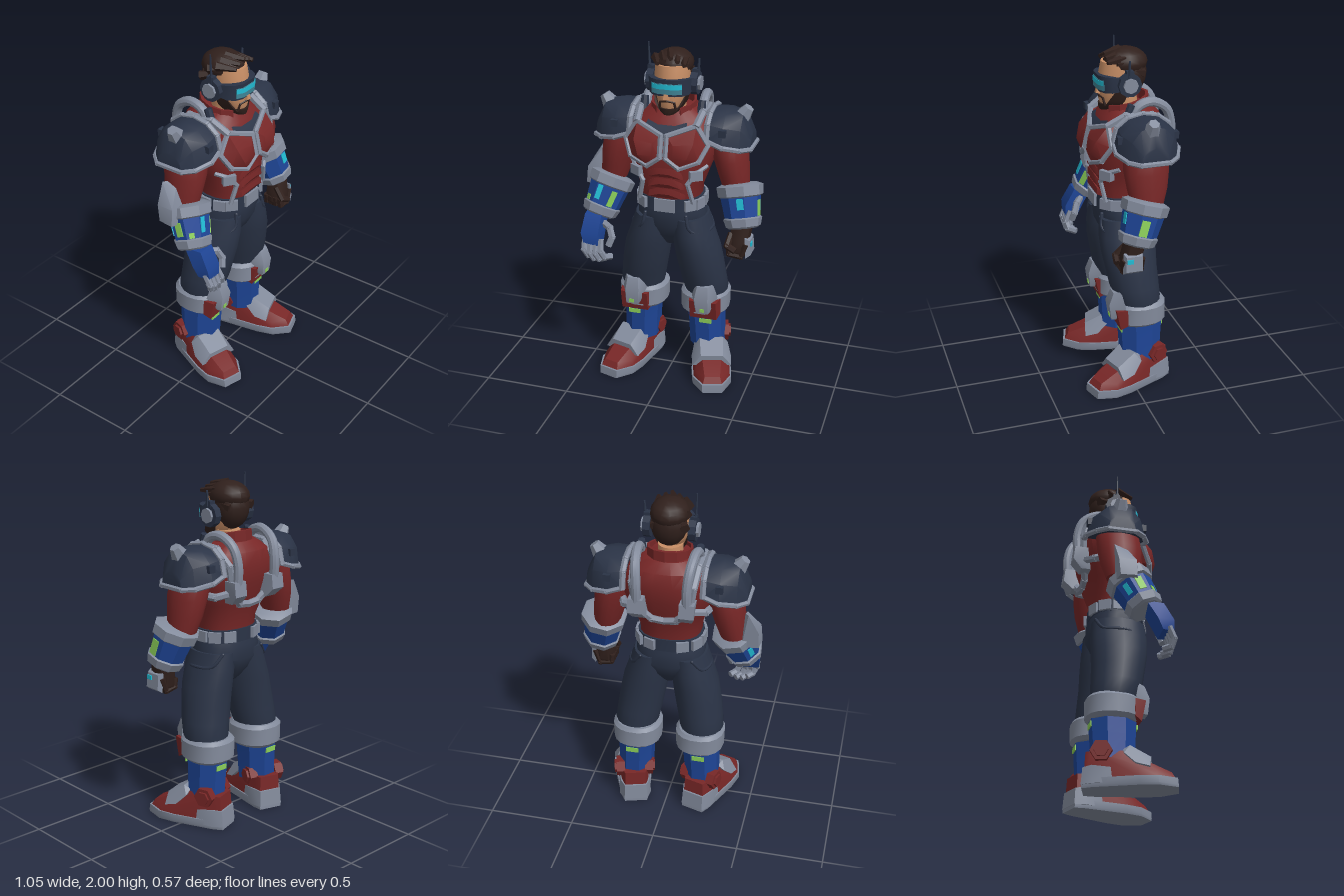
import * as THREE from 'three';
import { mergeGeometries, toCreasedNormals } from 'three/addons/utils/BufferGeometryUtils.js';
import { ConvexGeometry } from 'three/addons/geometries/ConvexGeometry.js';

const mat = (name, color) => Object.assign(new THREE.MeshStandardMaterial({ color }), { name });
const M = {
  red: mat('red armour', 0x782727), navy: mat('navy cloth', 0x2a3346), grey: mat('grey metal', 0x838b9c),
  blue: mat('blue armour', 0x1e4596), skin: mat('skin', 0xc98f66), hair: mat('dark brown', 0x30201c),
  cyan: mat('cyan light', 0x22bcd4), green: mat('green light', 0x8ccf5a), lens: mat('visor glass', 0x3f8496),
};
const V = (p) => new THREE.Vector3(...p);
const UP = new THREE.Vector3(0, 1, 0);

// Adds one mesh from one or several geometries
function add(parent, name, material, ...geos) {
  const parts = geos.flat().map((g) => {
    const f = g.index ? g.toNonIndexed() : g;
    f.deleteAttribute('uv');
    return toCreasedNormals(f, 0.6);
  });
  const mesh = new THREE.Mesh(mergeGeometries(parts), material);
  mesh.name = name;
  parent.add(mesh);
  return mesh;
}
// Closed skin over horizontal rings [y, cx, cz, rx, rz], rising in y
function loft(rings, n = 18, power = 2) {
  const pos = [], idx = [], top = (rings.length - 1) * n, c = rings.length * n;
  const e = (v) => Math.sign(v) * Math.abs(v) ** (2 / power);
  for (const [y, cx, cz, rx, rz] of rings) for (let i = 0; i < n; i++) {
    const a = ((i + 0.5) / n) * Math.PI * 2;
    pos.push(cx + rx * e(Math.sin(a)), y, cz + rz * e(Math.cos(a)));
  }
  for (const [y, cx, cz] of [rings[0], rings.at(-1)]) pos.push(cx, y, cz);
  for (let i = 0; i < n; i++) {
    const k = (i + 1) % n;
    for (let j = 0; j < top; j += n) idx.push(j + i, j + k, j + n + k, j + i, j + n + k, j + n + i);
    idx.push(c, k, i, c + 1, top + i, top + k);
  }
  const g = new THREE.BufferGeometry();
  g.setAttribute('position', new THREE.Float32BufferAttribute(pos, 3));
  g.setIndex(idx);
  return g;
}
const hull = (pts) => new ConvexGeometry(pts.map(V));
// Hull that is symmetrical about x = 0
const hullX = (pts) => hull(pts.flatMap(([x, y, z]) => [[x, y, z], [-x, y, z]]));
const flip = (pts, s) => pts.map(([x, y, z]) => [x * s, y, z]);
const box = (w, h, d, x, y, z, ry = 0, rx = 0) =>
  new THREE.BoxGeometry(w, h, d).rotateX(rx).rotateY(ry).translate(x, y, z);
const ball = (rx, ry, rz, x, y, z) => new THREE.SphereGeometry(1, 14, 10).scale(rx, ry, rz).translate(x, y, z);
const disc = (r, w, x, y, z, n = 6) => new THREE.CylinderGeometry(r, r, w, n).rotateZ(Math.PI / 2).translate(x, y, z);
// Straight rod from a to b
function rod(a, b, r0, r1 = r0, n = 6) {
  const d = V(b).sub(V(a)), L = d.length();
  return new THREE.CylinderGeometry(r1, r0, L + r1, n)
    .applyQuaternion(new THREE.Quaternion().setFromUnitVectors(UP, d.normalize()))
    .translate(...V(a).add(V(b)).multiplyScalar(0.5).toArray());
}
const chain = (pts, r, close) => pts.slice(close ? 0 : 1).map((p, i) => rod(pts[close ? (i + pts.length - 1) % pts.length : i], p, r));
const tube = (pts, r) => {
  const c = new THREE.CatmullRomCurve3(pts.map(V));
  return [new THREE.TubeGeometry(c, 20, r, 10), ...[pts[0], pts.at(-1)].map((p) => ball(r, r, r, ...p))];
};

function buildHead(g) {
  add(g, 'neck', M.skin, loft([[1.56, 0, -0.03, 0.07, 0.08], [1.7, 0, -0.02, 0.07, 0.08]]));
  add(g, 'face', M.skin, loft([[1.645, 0, 0.06, 0.035, 0.04], [1.68, 0, 0.035, 0.068, 0.08], [1.74, 0, 0.01, 0.09, 0.107],
    [1.82, 0, 0, 0.1, 0.118], [1.9, 0, -0.01, 0.095, 0.113]]), hullX([[0.018, 1.72, 0.1], [0.014, 1.725, 0.136], [0.008, 1.8, 0.12]]));
  add(g, 'beard', M.hair, loft([[1.63, 0, 0.065, 0.035, 0.048], [1.645, 0, 0.05, 0.056, 0.068], [1.667, 0, 0.04, 0.07, 0.08]]),
    [-1, 1].flatMap((s) => [hull(flip([[0.06, 1.66, 0.085], [0.045, 1.65, 0.1], [0.078, 1.69, 0.08], [0.1, 1.76, 0.04], [0.103, 1.77, 0.0],
      [0.1, 1.76, -0.03], [0.085, 1.69, -0.01], [0.06, 1.65, 0.01]], s)), rod([0, 1.712, 0.118], [s * 0.04, 1.702, 0.104], 0.006),
    rod([s * 0.04, 1.7, 0.104], [s * 0.045, 1.665, 0.095], 0.007)]));
  // Hair cap with swept locks
  const locks = [];
  for (let r = 0; r < 3; r++) for (let i = -2; i <= 2; i++) {
    const x = i * 0.038, y = 1.95 - Math.abs(i) * 0.016 - r * r * 0.014, z = 0.045 - r * 0.055;
    locks.push(rod([x + 0.012, y - 0.006, z + 0.035], [x * 1.08 - 0.012, y - r * 0.012, z - 0.04], 0.012, 0.028, 5));
  }
  add(g, 'hair', M.hair, ball(0.108, 0.083, 0.125, 0, 1.888, -0.035), ball(0.1, 0.125, 0.095, 0, 1.83, -0.06), locks);
  add(g, 'visor', M.navy, hullX([[0.12, 1.755, -0.01], [0.12, 1.82, -0.01], [0.113, 1.745, 0.07], [0.116, 1.833, 0.07],
    [0.085, 1.742, 0.107], [0.09, 1.835, 0.11], [0.045, 1.742, 0.126], [0.05, 1.835, 0.132]]));
  // Curved strips in front of the visor
  const strip = (y0, y1, out) => hullX([y0, y1].flatMap((y) => [[0.086, y, 0.113 + out], [0.046, y, 0.134 + out], [0.08, y, 0.1]]));
  add(g, 'visorLens', M.lens, strip(1.755, 1.813, 0));
  add(g, 'visorGlow', M.cyan, strip(1.783, 1.809, 0.003));
  for (const s of [-1, 1]) {
    add(g, 'earCup', M.navy, disc(0.066, 0.04, s * 0.125, 1.79, -0.02, 10), box(0.035, 0.1, 0.04, s * 0.128, 1.82, -0.02));
    add(g, 'earCap', M.grey, disc(0.042, 0.035, s * 0.142, 1.79, -0.02, 8));
  }
  add(g, 'antenna', M.navy, rod([-0.135, 1.8, -0.015], [-0.135, 1.87, -0.015], 0.013), rod([-0.137, 1.87, -0.015], [-0.142, 1.997, -0.015], 0.008, 0.004),
    rod([0.14, 1.83, -0.015], [0.146, 1.925, -0.015], 0.01, 0.006));
}

function buildTorso(g) {
  add(g, 'torso', M.red, loft([[1.1, 0, 0, 0.172, 0.145], [1.2, 0, 0.005, 0.18, 0.155], [1.3, 0, -0.01, 0.215, 0.175],
    [1.42, 0, -0.025, 0.265, 0.195], [1.52, 0, -0.04, 0.27, 0.195], [1.6, 0, -0.055, 0.21, 0.165], [1.65, 0, -0.05, 0.13, 0.12]], 20, 2.4));
  add(g, 'undershirt', M.navy, hullX([[0.11, 1.6, 0.09], [0.12, 1.57, 0.13], [0.02, 1.51, 0.168], [0.07, 1.63, 0.03], [0.06, 1.52, 0.08]]));
  const collar = Array.from({ length: 11 }, (_, i) => {
    const a = 0.55 + (i / 10) * (Math.PI * 2 - 1.1);
    return [0.115 * Math.sin(a), 1.625, -0.03 + 0.12 * Math.cos(a)];
  });
  add(g, 'collar', M.red, collar.slice(1).map((p, i) => hull([collar[i], p].flatMap(([x, y, z]) =>
    [[x, y - 0.05, z], [x * 1.15, y - 0.05, z * 1.15], [x, y + 0.055 - z * 0.2, z], [x * 1.12, y + 0.055 - z * 0.2, z * 1.12]]))));
  // Stomach ridges
  [1.31, 1.25, 1.19].forEach((y, i) => add(g, 'stomachPlate', M.red, hullX([[0.13 - i * 0.008, y - 0.045, 0.12], [0.135 - i * 0.008, y - 0.015, 0.12],
    [0.095, y - 0.03, 0.16], [0.09, y + 0.008, 0.158], [0.04, y + 0.03, 0.17], [0.03, y - 0.005, 0.175]])));
  for (const s of [-1, 1]) {
    const edge = flip([[0.17, 1.585, 0.115], [0.017, 1.53, 0.168], [0.017, 1.41, 0.196], [0.09, 1.355, 0.19], [0.195, 1.395, 0.16], [0.235, 1.48, 0.115]], s);
    add(g, 'chestPlate', M.red, hull([...edge, ...edge.map(([x, y, z]) => [x, y, z - 0.09]),
      ...flip([[0.06, 1.49, 0.2], [0.06, 1.42, 0.21], [0.14, 1.42, 0.21], [0.17, 1.5, 0.185]], s)]));
    add(g, 'chestFrame', M.grey, chain(edge, 0.016, true));
    add(g, 'sideStrap', M.grey, chain(flip([[0.215, 1.34, 0.07], [0.17, 1.31, 0.13], [0.13, 1.25, 0.148], [0.155, 1.14, 0.128]], s), 0.014),
      box(0.075, 0.055, 0.04, s * 0.17, 1.3, 0.125, s * 0.6));
    add(g, 'shoulderStrap', M.grey, chain(flip([[0.17, 1.585, 0.115], [0.18, 1.635, 0.02], [0.18, 1.625, -0.13], [0.17, 1.54, -0.222], [0.15, 1.4, -0.225]], s), 0.022));
    add(g, 'backStrap', M.grey, chain(flip([[0.27, 1.38, -0.08], [0.23, 1.37, -0.17], [0.15, 1.39, -0.22], [0.07, 1.31, -0.195], [0, 1.3, -0.19]], s), 0.022));
    add(g, 'backBlock', M.grey, hull(flip([0.1, 0.185].flatMap((x) => [[x, 1.46, -0.2], [x, 1.46, -0.275], [x, 1.38, -0.285],
      [x * 0.9, 1.33, -0.235], [x * 0.9, 1.33, -0.18]]), s)));
    add(g, 'hose', M.grey, tube(flip([[0.165, 1.6, -0.02], [0.165, 1.67, -0.05], [0.16, 1.697, -0.13], [0.15, 1.65, -0.22], [0.14, 1.55, -0.255], [0.14, 1.42, -0.25]], s), 0.027));
    add(g, 'hoseSocket', M.navy, rod([s * 0.165, 1.6, 0.01], [s * 0.165, 1.68, -0.015], 0.026, 0.022, 8));
  }
}

function buildHips(g) {
  add(g, 'hips', M.navy, loft([[0.83, 0, -0.015, 0.04, 0.07], [0.9, 0, -0.015, 0.13, 0.125], [0.97, 0, -0.012, 0.2, 0.155], [1.05, 0, -0.005, 0.2, 0.157], [1.1, 0, 0, 0.185, 0.15]], 20, 2.3));
  add(g, 'belt', M.navy, loft([[1.075, 0, 0, 0.192, 0.158], [1.15, 0, 0, 0.188, 0.156]], 20, 2.4));
  add(g, 'buckle', M.grey, box(0.12, 0.075, 0.03, 0, 1.112, 0.152));
  const blocks = [0.75, 1.2, 1.65, 2.15, 2.7].flatMap((a) => [a, -a]).map((a) => box(0.07, 0.062, 0.025,
    0.19 * Math.sign(a) * Math.sin(Math.abs(a)) ** 0.83, 1.112, 0.155 * Math.sign(Math.cos(a)) * Math.abs(Math.cos(a)) ** 0.83, a));
  add(g, 'beltBlocks', M.grey, blocks);
}

function buildLeg(g, s) {
  const leg = new THREE.Group();
  leg.name = s > 0 ? 'leftLeg' : 'rightLeg';
  g.add(leg);
  const L = (rings, n, p) => loft(rings.map(([y, x, ...r]) => [y, x * s, ...r]), n, p);
  add(leg, 'trouserLeg', M.navy, L([[0.48, 0.195, -0.055, 0.115, 0.125], [0.54, 0.195, -0.05, 0.13, 0.132], [0.62, 0.182, -0.033, 0.133, 0.144],
    [0.72, 0.165, -0.02, 0.136, 0.15], [0.82, 0.147, -0.01, 0.134, 0.16], [0.92, 0.124, -0.005, 0.122, 0.163], [1.02, 0.107, -0.005, 0.105, 0.155]]));
  add(leg, 'pocketRim', M.navy, tube(flip([[0.12, 1.05, 0.14], [0.14, 0.97, 0.145], [0.195, 0.94, 0.1], [0.235, 0.94, -0.01], [0.202, 0.95, -0.11], [0.15, 1.02, -0.145]], s), 0.01));
  add(leg, 'kneeBand', M.grey, L([[0.39, 0.19, -0.06, 0.12, 0.13], [0.41, 0.19, -0.06, 0.142, 0.15], [0.51, 0.19, -0.06, 0.145, 0.15], [0.53, 0.19, -0.06, 0.125, 0.135]], 18, 2.3));
  add(leg, 'lowerKneePlate', M.red, hull(flip([0.115, 0.305].flatMap((x) => [[x, 0.505, 0.04], [x, 0.405, 0.04], [x * 0.85 + 0.032, 0.38, 0.08], [x * 0.85 + 0.032, 0.5, 0.105]]), s)));
  add(leg, 'kneePad', M.grey, hull(flip([[0.13, 0.515, 0.05], [0.155, 0.61, 0.07], [0.265, 0.61, 0.07], [0.29, 0.515, 0.05], [0.175, 0.435, 0.1],
    [0.255, 0.435, 0.1], [0.17, 0.53, 0.137], [0.25, 0.53, 0.137], [0.18, 0.6, 0.11], [0.245, 0.6, 0.11], [0.18, 0.435, 0.125], [0.25, 0.435, 0.125]], s)));
  add(leg, 'kneeLight', M.green, box(0.028, 0.022, 0.008, s * 0.216, 0.457, 0.128));
  add(leg, 'shin', M.blue, L([[0.16, 0.205, -0.06, 0.105, 0.12], [0.3, 0.2, -0.06, 0.107, 0.128], [0.41, 0.195, -0.06, 0.112, 0.136]], 8));
  add(leg, 'shinLights', M.green, box(0.072, 0.026, 0.008, s * 0.22, 0.355, 0.063), box(0.075, 0.03, 0.008, s * 0.2, 0.365, -0.184));

  // Boot, turned outward
  const boot = new THREE.Group();
  boot.name = 'boot';
  boot.position.set(s * 0.235, 0, -0.02);
  boot.rotation.y = s * 0.3;
  leg.add(boot);
  const outline = [[0.07, -0.205], [0.088, -0.15], [0.09, -0.03], [0.118, 0.1], [0.115, 0.2], [0.06, 0.3]];
  add(boot, 'sole', M.grey, hullX(outline.flatMap(([x, z]) => [[x * 0.96, 0, z], [x, 0.012, z], [x, 0.05, z * 0.99]])),
    hullX([[0.07, 0.02, -0.208], [0.095, 0.02, -0.15], [0.095, 0.02, -0.04], [0.065, 0.115, -0.2], [0.088, 0.12, -0.15], [0.092, 0.105, -0.05]]));
  add(boot, 'upper', M.red, hullX([...outline.map(([x, z]) => [x * 0.93, 0.05, z * 0.95]), [0.095, 0.08, 0.19], [0.045, 0.085, 0.265],
    [0.06, 0.14, 0.13], [0.1, 0.1, 0.1], [0.07, 0.2, 0.02], [0.088, 0.15, 0], [0.075, 0.2, -0.15], [0.06, 0.2, -0.185]]));
  add(boot, 'instepStrap', M.grey, hullX([[0.116, 0.1, 0.155], [0.065, 0.165, 0.16], [0.118, 0.12, 0.08], [0.07, 0.23, 0.05], [0.1, 0.18, 0.02], [0.06, 0.21, 0.01]]));
  add(boot, 'ankleDiscs', M.red, [-1, 1].flatMap((k) => [disc(0.06, 0.05, k * 0.085, 0.195, -0.1), disc(0.04, 0.02, k * 0.113, 0.195, -0.1)]));
}

function buildArm(g, s) {
  const arm = new THREE.Group();
  arm.name = s > 0 ? 'leftArm' : 'rightArm';
  g.add(arm);
  add(arm, 'upperArm', M.red, loft([[1.18, 0.365, -0.045, 0.075, 0.09], [1.27, 0.347, -0.05, 0.088, 0.113], [1.37, 0.328, -0.05, 0.1, 0.127],
    [1.47, 0.305, -0.055, 0.105, 0.125], [1.56, 0.28, -0.06, 0.08, 0.1]].map(([y, x, ...r]) => [y, x * s, ...r])));
  // Shoulder guard: domed shell with rims and spike
  const arcs = [[0.22, 1.5, 0.15, 0.165], [0.31, 1.47, 0.185, 0.175], [0.4, 1.45, 0.19, 0.135], [0.45, 1.445, 0.09, 0.08]];
  add(arm, 'shoulderGuard', M.navy, hull(flip(arcs.flatMap(([x, y, ry, rz]) => Array.from({ length: 7 }, (_, i) =>
    [x, y + ry * Math.sin((i * Math.PI) / 6) ** 0.8, -0.063 + rz * Math.cos((i * Math.PI) / 6)])), s)));
  const front = arcs.map(([x, y, , rz]) => [x, y, -0.063 + rz]), back = arcs.map(([x, y, , rz]) => [x, y, -0.063 - rz]);
  add(arm, 'guardRim', M.grey, chain(flip([...front, ...back.reverse()], s), 0.015),
    chain(flip(Array.from({ length: 7 }, (_, i) => [0.222, 1.5 + 0.15 * Math.sin(i * Math.PI / 6) ** 0.8, -0.063 + 0.168 * Math.cos(i * Math.PI / 6)]), s), 0.018));
  add(arm, 'guardSpike', M.grey, rod([s * 0.375, 1.595, -0.06], [s * 0.413, 1.65, -0.06], 0.06, 0.03, 6));
  add(arm, 'guardBolt', M.navy, box(0.04, 0.04, 0.03, s * 0.31, 1.55, 0.095), box(0.04, 0.04, 0.03, s * 0.31, 1.55, -0.22));

  // Forearm, built upward from the wrist
  const wrist = s > 0 ? V([0.43, 0.985, 0.04]) : V([-0.425, 0.975, 0.075]);
  const elbow = s > 0 ? V([0.38, 1.235, -0.04]) : V([-0.35, 1.225, -0.035]);
  const fore = new THREE.Group();
  fore.name = 'forearm';
  fore.position.copy(wrist);
  fore.quaternion.setFromUnitVectors(UP, elbow.clone().sub(wrist).normalize());
  arm.add(fore);
  add(fore, 'wristCuff', M.grey, loft([[-0.005, 0, 0, 0.085, 0.085], [0.005, 0, 0, 0.1, 0.1], [0.05, 0, 0, 0.112, 0.112], [0.06, 0, 0, 0.1, 0.1]], 8));
  add(fore, 'forearmShell', M.blue, loft([[0.05, 0, 0, 0.102, 0.102], [0.18, 0, 0, 0.117, 0.117]], 8));
  add(fore, 'elbowCuff', M.grey, loft([[0.17, 0, 0, 0.112, 0.112], [0.18, 0, 0, 0.13, 0.13], [0.235, 0, 0, 0.134, 0.134], [0.25, 0, 0, 0.1, 0.1]], 8));
  const plate = (a, w, h, off, y = 0.115) => box(w, h, 0.008, 0, 0, 0.102 + (y - 0.115) * 0.106, 0, 0.106).translate(off, y, 0).rotateY(a);
  const q = Math.PI / 4;
  if (s > 0) {
    add(fore, 'cyanLight', M.cyan, plate(0, 0.038, 0.062, 0.018, 0.135));
    add(fore, 'greenLight', M.green, plate(2 * q, 0.048, 0.09, -0.014, 0.105));
    // Gloved fist
    add(arm, 'glove', M.hair, loft([[0.83, 0.41, 0.065, 0.05, 0.055], [0.86, 0.412, 0.065, 0.064, 0.066], [0.93, 0.415, 0.06, 0.06, 0.06], [1, 0.425, 0.045, 0.06, 0.06]], 10, 2.6),
      [0, 1, 2, 3].flatMap((i) => chain([[0.46, 0.905, 0.015 + i * 0.033], [0.435, 0.835, 0.015 + i * 0.033], [0.37, 0.845, 0.02 + i * 0.033], [0.365, 0.885, 0.02 + i * 0.032]], 0.018)),
      chain([[0.37, 0.95, 0.09], [0.36, 0.9, 0.135], [0.4, 0.88, 0.14]], 0.019));
    add(arm, 'knucklePlate', M.grey, hull([[0.455, 0.95, 0.01], [0.455, 0.95, 0.12], [0.465, 0.83, 0.01], [0.465, 0.83, 0.125], [0.485, 0.935, 0.02], [0.485, 0.935, 0.11], [0.492, 0.85, 0.02], [0.492, 0.85, 0.115]]));
    add(arm, 'knuckleLight', M.cyan, box(0.008, 0.025, 0.035, 0.489, 0.91, 0.09));
  } else {
    add(fore, 'cyanLight', M.cyan, plate(0, 0.03, 0.085, -0.02, 0.125), plate(-3 * q, 0.03, 0.07, 0));
    add(fore, 'greenLight', M.green, plate(q, 0.035, 0.095, -0.015, 0.11), plate(-2 * q, 0.04, 0.08, 0), plate(-q, 0.03, 0.03, -0.01, 0.075));
    // Open metal hand
    add(arm, 'handBack', M.blue, hull([[-0.49, 1, 0.06], [-0.37, 1, 0.06], [-0.48, 1, 0.16], [-0.38, 1, 0.16], [-0.5, 0.9, 0.12],
      [-0.37, 0.9, 0.12], [-0.49, 0.9, 0.215], [-0.385, 0.9, 0.215], [-0.49, 0.84, 0.15], [-0.375, 0.83, 0.15], [-0.475, 0.84, 0.215], [-0.39, 0.83, 0.215]]));
    add(arm, 'fingers', M.grey, [0, 1, 2, 3].flatMap((i) => {
      const x = -0.475 + i * 0.033, d = i % 3 ? 0.015 : 0;
      return chain([[x, 0.855, 0.19], [x + 0.005, 0.8 - d, 0.216], [x + 0.025, 0.76 - d, 0.205], [x + 0.05, 0.755 - d, 0.175]], 0.019);
    }), chain([[-0.375, 0.94, 0.13], [-0.33, 0.93, 0.16], [-0.31, 0.88, 0.18], [-0.325, 0.84, 0.19]], 0.021));
    add(arm, 'elbowFin', M.grey, hull([[-0.42, 1.13, -0.1], [-0.43, 1.13, 0.03], [-0.515, 1.13, -0.09], [-0.525, 1.13, 0], [-0.515, 1.23, -0.1],
      [-0.515, 1.23, 0.0], [-0.455, 1.345, -0.11], [-0.435, 1.345, -0.09], [-0.44, 1.325, -0.03], [-0.435, 1.2, 0.02]]));
  }
}

export function createModel() {
  const model = new THREE.Group();
  model.name = 'armouredFighter';
  buildHead(model);
  buildTorso(model);
  buildHips(model);
  for (const s of [-1, 1]) {
    buildLeg(model, s);
    buildArm(model, s);
  }
  return model;
}
